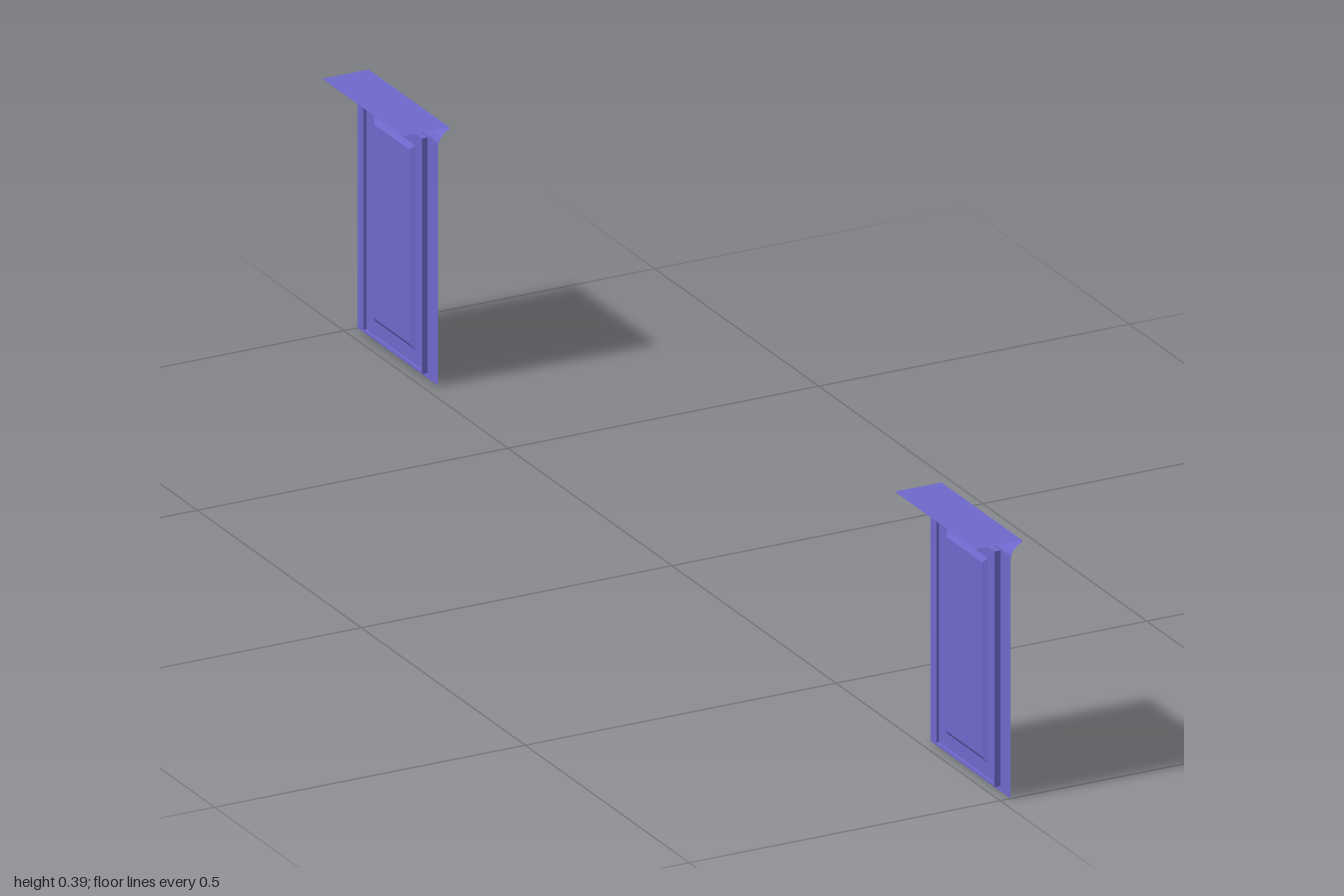
import * as THREE from 'three';

const HALF = 0.1225; // half the width of one cabinet front along z

// Flat-faced geometry from quads whose corners run counter-clockwise
function quads(list) {
  const pos = [];
  for (const [a, b, c, d] of list) pos.push(...a, ...b, ...c, ...a, ...c, ...d);
  const geo = new THREE.BufferGeometry();
  geo.setAttribute('position', new THREE.Float32BufferAttribute(pos, 3));
  geo.computeVertexNormals();
  return geo;
}

// Corners of an upright rectangle facing +x
const rect = ([x, half, y0, y1]) =>
  [[x, y0, half], [x, y0, -half], [x, y1, -half], [x, y1, half]];

// Nested rectangles joined by mitred bands
function mitredBands(steps) {
  const faces = [];
  for (let k = 0; k + 1 < steps.length; k++) {
    const a = rect(steps[k]), b = rect(steps[k + 1]);
    for (let i = 0; i < 4; i++) {
      const j = (i + 1) % 4;
      faces.push([a[i], a[j], b[j], b[i]]);
    }
  }
  return quads(faces);
}

// Open moulding profile (x, y) run along z
function moulding(profile) {
  const faces = [];
  for (let k = 0; k + 1 < profile.length; k++) {
    const [p, q] = [profile[k], profile[k + 1]];
    faces.push([[...p, HALF], [...p, -HALF], [...q, -HALF], [...q, HALF]]);
  }
  return quads(faces);
}

export function createModel() {
  const model = new THREE.Group();
  model.name = 'cabinetFronts';
  const paint = new THREE.MeshStandardMaterial({ color: 0x6f68cc, side: THREE.DoubleSide });
  paint.name = 'violet paint';

  // Each step: x, half width, bottom, top
  const opening = [0.0195, 0.091, 0.008, 0.37];
  const doorEdge = [0.015, 0.087, 0.012, 0.366];
  const doorInner = [0.015, 0.062, 0.034, 0.348];
  const panelEdge = [0.0095, 0.054, 0.042, 0.34];

  const surround = mitredBands([[0.0195, HALF, 0, 0.372], opening]);
  const reveal = mitredBands([opening, [0.0105, 0.091, 0.008, 0.37],
    [0.0105, 0.087, 0.012, 0.366], doorEdge]);
  const doorFrame = mitredBands([doorEdge, doorInner]);
  const panelBevel = mitredBands([doorInner, panelEdge]);
  const panel = quads([rect(panelEdge)]);
  const crown = moulding([[0.0195, 0.368], [0.021, 0.374], [0.025, 0.381],
    [0.031, 0.387], [0.0375, 0.39], [0.0375, 0.394]]);
  const topPlate = new THREE.PlaneGeometry(0.075, 2 * HALF)
    .rotateX(-Math.PI / 2).translate(0, 0.394, 0);

  const parts = { surround, reveal, doorFrame, panelBevel, panel, crown, topPlate };

  // Two matching units, one at each end
  for (const side of [1, -1]) {
    const unit = new THREE.Group();
    unit.name = side > 0 ? 'frontCabinet' : 'backCabinet';
    for (const [name, geo] of Object.entries(parts)) {
      const mesh = new THREE.Mesh(geo, paint);
      mesh.name = name;
      unit.add(mesh);
    }
    unit.position.set(-0.0025 * side, 0, side * (1 - HALF));
    model.add(unit);
  }
  return model;
}
